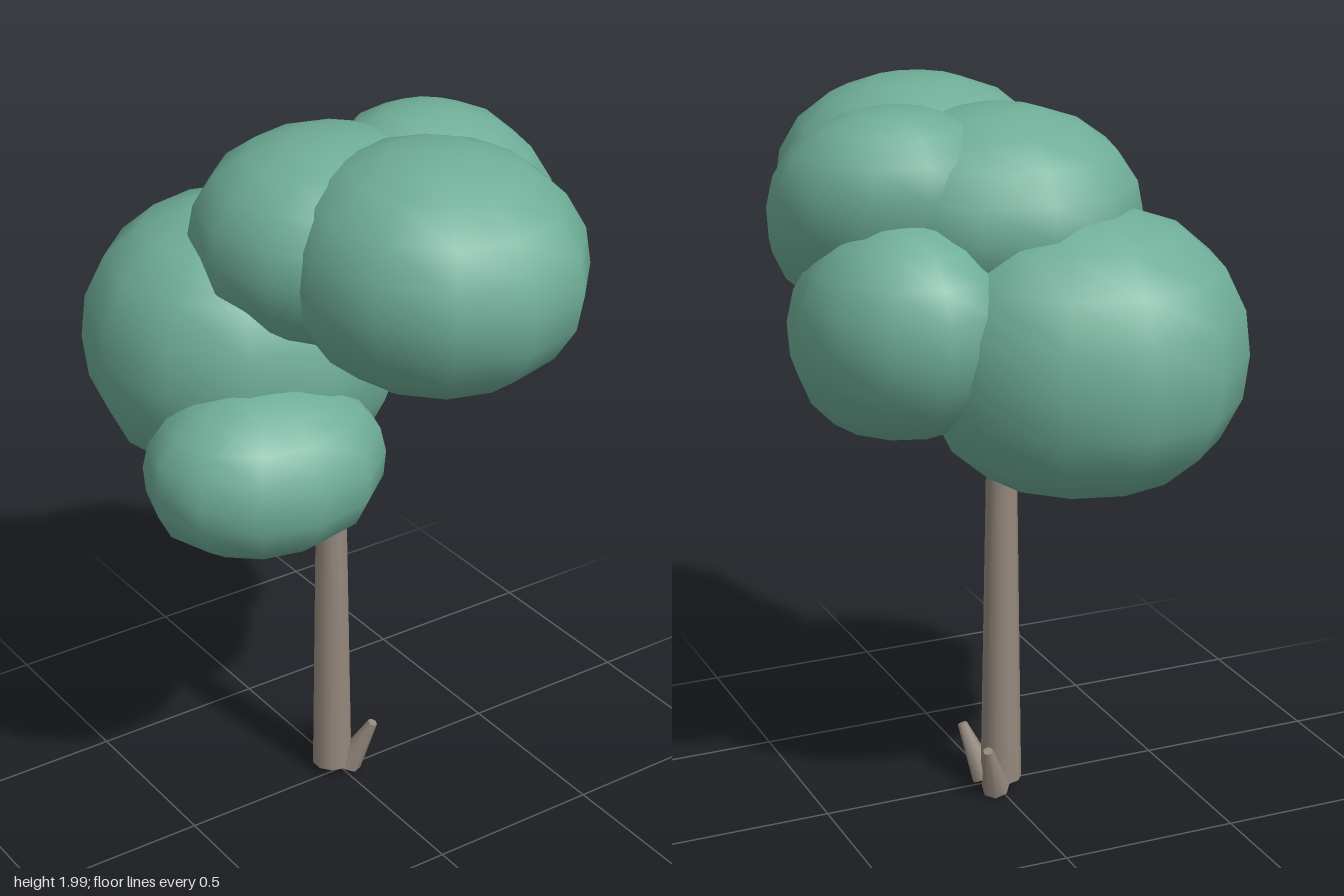
import * as THREE from 'three';
import { mergeVertices } from 'three/addons/utils/BufferGeometryUtils.js';

const leafMaterial = new THREE.MeshStandardMaterial({ color: 0x6fae98 });
const barkMaterial = new THREE.MeshStandardMaterial({ color: 0x94887d });

// Rounded clump: separate fullness above and below its middle, optional lean
// along z, and a small dimple at the lower pole
function leafClump({ centre, radii, top, bottom, lean = 0 }) {
  let geometry = new THREE.SphereGeometry(1, 12, 10);
  geometry.deleteAttribute('uv');
  geometry.deleteAttribute('normal');
  geometry = mergeVertices(geometry, 1e-3);
  const pos = geometry.attributes.position;
  const [rx, ry, rz] = radii;
  for (let i = 0; i < pos.count; i++) {
    const v = new THREE.Vector3().fromBufferAttribute(pos, i);
    const rho = Math.hypot(v.x, v.z);
    if (v.y < -0.99) {
      v.y = -0.86;
    } else if (v.y < -0.9) {
      v.set(v.x * 0.35, -1, v.z * 0.35);
    } else {
      const p = v.y > 0 ? top : bottom;
      v.multiplyScalar(Math.pow(Math.pow(rho, p) + Math.pow(Math.abs(v.y), p), -1 / p));
    }
    pos.setXYZ(i, v.x * rx, v.y * ry, v.z * rz + v.y * ry * lean);
  }
  geometry.computeVertexNormals();
  const mesh = new THREE.Mesh(geometry, leafMaterial);
  mesh.position.set(...centre);
  return mesh;
}

// Tapered round piece between two points
function taperedLimb(from, to, r0, r1, sides) {
  const a = new THREE.Vector3(...from);
  const dir = new THREE.Vector3(...to).sub(a);
  const mesh = new THREE.Mesh(new THREE.CylinderGeometry(r1, r0, dir.length(), sides), barkMaterial);
  mesh.position.copy(a).addScaledVector(dir, 0.5);
  mesh.quaternion.setFromUnitVectors(new THREE.Vector3(0, 1, 0), dir.normalize());
  return mesh;
}

export function createModel() {
  const tree = new THREE.Group();
  tree.name = 'tree';

  // Trunk, reaching up into the foliage
  const trunk = taperedLimb([-0.017, 0.03, -0.022], [-0.016, 1.25, -0.028], 0.058, 0.038, 10);
  trunk.name = 'trunk';
  tree.add(trunk);

  // Two short spurs at the foot
  const spurs = [
    [[0.02, 0.022, 0.006], [0.067, 0.174, 0.062]],
    [[0.02, 0.022, -0.07], [0.067, 0.168, -0.124]],
  ];
  spurs.forEach(([from, to], i) => {
    const spur = taperedLimb(from, to, 0.04, 0.014, 7);
    spur.name = 'footSpur' + (i + 1);
    tree.add(spur);
  });

  // Foliage clumps
  const clumps = {
    lowerRightClump: { centre: [-0.29, 1.15, 0.07], radii: [0.335, 0.225, 0.28], top: 2, bottom: 2.6 },
    backClump: { centre: [-0.14, 1.35, -0.265], radii: [0.44, 0.38, 0.435], top: 2.3, bottom: 2.25 },
    leftClump: { centre: [0.32, 1.43, -0.145], radii: [0.29, 0.3, 0.345], top: 2, bottom: 2.15, lean: -0.15 },
    frontTopClump: { centre: [0.1, 1.685, 0.275], radii: [0.39, 0.315, 0.42], top: 2.15, bottom: 2.1 },
    leftTopClump: { centre: [0.28, 1.695, 0.055], radii: [0.32, 0.285, 0.31], top: 2.25, bottom: 2.1, lean: -0.3 },
    backTopClump: { centre: [0, 1.69, -0.03], radii: [0.385, 0.275, 0.39], top: 2.1, bottom: 2.1 },
  };
  const foliage = new THREE.Group();
  foliage.name = 'foliage';
  for (const [name, spec] of Object.entries(clumps)) {
    const clump = leafClump(spec);
    clump.name = name;
    foliage.add(clump);
  }
  tree.add(foliage);

  return tree;
}
